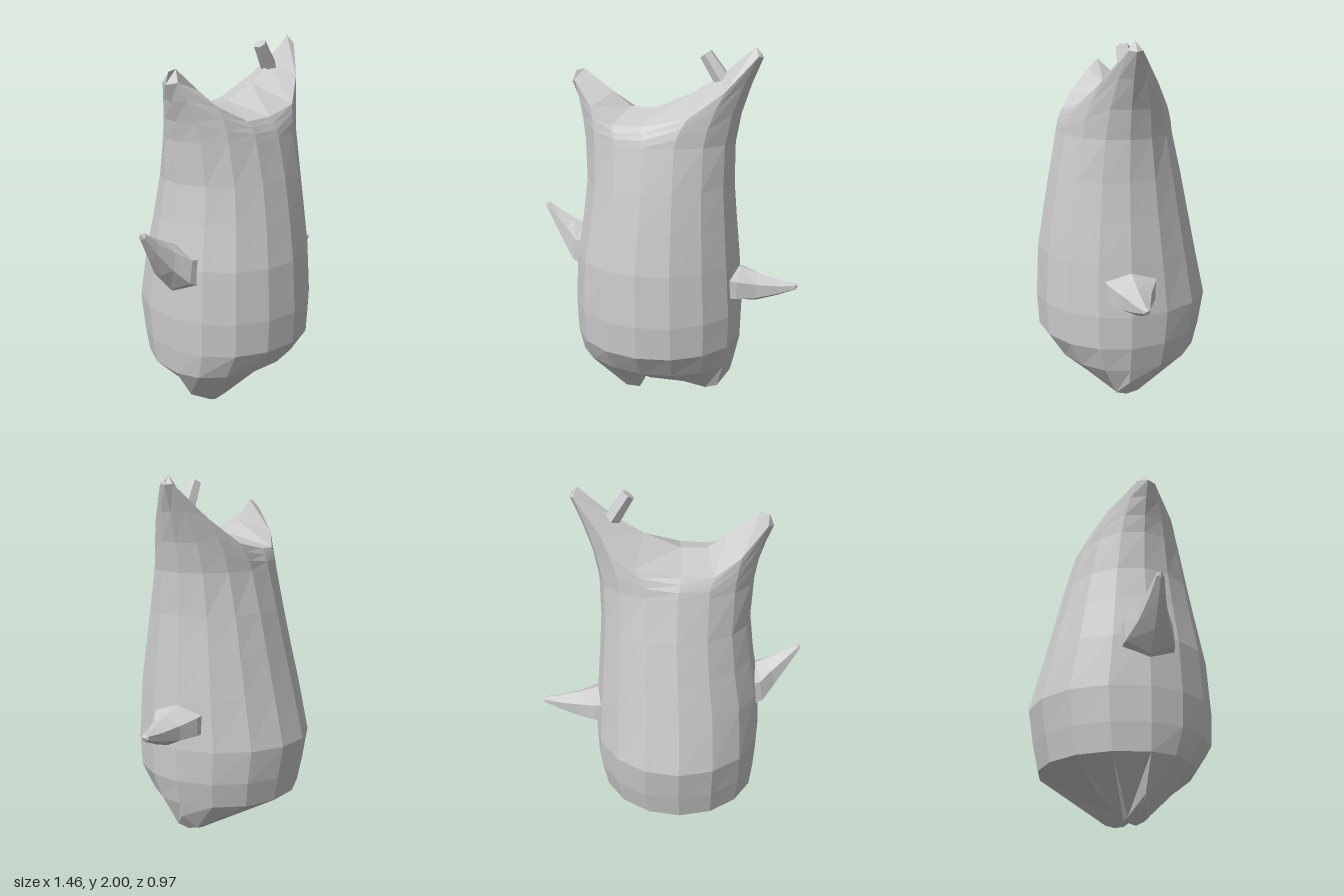
import * as THREE from 'three';

const COLS = 16;   // columns around the body
const MID_Z = 0.045; // ears, arms and feet all sit on this plane

const material = new THREE.MeshStandardMaterial({ color: 0xcccccc, flatShading: true });

// Skins a list of closed rings, each an array of [x, y, z] points.
function loft(name, rings) {
  const n = rings[0].length;
  const index = [];
  for (let k = 0; k < rings.length - 1; k++) {
    for (let i = 0; i < n; i++) {
      const a = k * n + i, b = k * n + (i + 1) % n;
      index.push(a, a + n, b, b, a + n, b + n);
    }
  }
  const indexed = new THREE.BufferGeometry();
  indexed.setAttribute('position', new THREE.Float32BufferAttribute(rings.flat(2), 3));
  indexed.setIndex(index);
  const geometry = indexed.toNonIndexed();
  geometry.computeVertexNormals();
  const mesh = new THREE.Mesh(geometry, material);
  mesh.name = name;
  return mesh;
}

// Ring from nine stations running from +x to -x, mirrored front to back.
const mirroredRing = (stations, place) => Array.from({ length: COLS }, (_, i) => {
  const front = i <= COLS / 2;
  const [x, y, half] = place(stations[front ? i : COLS - i]);
  return [x, y, MID_Z + (front ? half : -half)];
});
const rim = (stations) => mirroredRing(stations, (s) => [s[0], s[1], s[2]]);
const ridge = (stations) => mirroredRing(stations, (s) => [s[3], s[4], 0]);

// Level ring of the trunk with its own left, right, front and back reach.
function trunkRing([y, xMin, xMax, front, back]) {
  return Array.from({ length: COLS }, (_, i) => {
    const a = (i / COLS) * Math.PI * 2;
    const s = Math.sin(a);
    return [
      (xMin + xMax) / 2 + Math.cos(a) * (xMax - xMin) / 2,
      y,
      MID_Z + s * (s > 0 ? front - MID_Z : MID_Z - back),
    ];
  });
}

// Height moves evenly, the outline eases in, giving a flared sweep to the ears.
function flare(from, to, t) {
  const e = t ** 1.5;
  return from.map((p, i) => [
    p[0] + (to[i][0] - p[0]) * e,
    p[1] + (to[i][1] - p[1]) * t,
    p[2] + (to[i][2] - p[2]) * e,
  ]);
}

function createBody() {
  // Stations: rim x, rim y, half depth, centre line x, centre line y
  const feet = [
    [0.37, 0.20, 0, 0.37, 0.20],
    [0.31, 0.12, 0.06, 0.30, 0.10],
    [0.24, 0.09, 0.05, 0.24, 0.08],
    [0.15, 0.19, 0.19, 0.15, 0.14],
    [-0.02, 0.23, 0.27, -0.02, 0.20],
    [-0.11, 0.20, 0.19, -0.10, 0.17],
    [-0.16, 0.03, 0.05, -0.17, 0.01],
    [-0.24, 0.03, 0.05, -0.22, 0.00],
    [-0.39, 0.11, 0, -0.38, 0.10],
  ];
  const crown = [
    [0.50, 1.95, 0, 0.49, 1.97],
    [0.48, 1.955, 0.035, 0.46, 2.00],
    [0.34, 1.79, 0.15, 0.28, 1.85],
    [0.17, 1.66, 0.245, 0.13, 1.76],
    [-0.06, 1.62, 0.265, -0.06, 1.68],
    [-0.22, 1.615, 0.25, -0.20, 1.68],
    [-0.36, 1.69, 0.18, -0.30, 1.755],
    [-0.50, 1.81, 0.05, -0.46, 1.87],
    [-0.535, 1.80, 0, -0.51, 1.86],
  ];
  // Trunk: y, x min, x max, z front, z back
  const trunk = [
    [0.28, -0.50, 0.39, 0.38, -0.42],
    [0.42, -0.515, 0.42, 0.475, -0.45],
    [0.60, -0.52, 0.425, 0.485, -0.48],
    [0.88, -0.505, 0.405, 0.47, -0.415],
    [1.10, -0.465, 0.385, 0.435, -0.365],
    [1.30, -0.44, 0.37, 0.40, -0.32],
    [1.52, -0.45, 0.37, 0.355, -0.265],
  ].map(trunkRing);
  const shoulder = trunk[trunk.length - 1];
  const top = rim(crown);
  return loft('body', [
    ridge(feet), rim(feet), ...trunk,
    flare(shoulder, top, 0.35), flare(shoulder, top, 0.7),
    top, ridge(crown),
  ]);
}

// Pointed arm: each section gives its top x, y, bottom x, y and half depth.
function createArm(name, sections, side) {
  const rings = sections.map(([tx, ty, bx, by, half]) =>
    Array.from({ length: 6 }, (_, i) => {
      const a = Math.PI / 2 + (i / 6) * Math.PI * 2;
      const s = Math.sin(a) * side;
      return [
        (tx + bx) / 2 + s * (tx - bx) / 2,
        (ty + by) / 2 + s * (ty - by) / 2,
        MID_Z + Math.cos(a) * half,
      ];
    }));
  return loft(name, rings);
}

export function createModel() {
  const model = new THREE.Group();
  model.name = 'hornedCreature';
  model.add(createBody());

  model.add(createArm('leftArm', [
    [0.36, 0.85, 0.36, 0.64, 0.16],
    [0.42, 0.835, 0.42, 0.645, 0.145],
    [0.52, 0.805, 0.51, 0.65, 0.09],
    [0.63, 0.78, 0.62, 0.69, 0.05],
    [0.715, 0.77, 0.72, 0.735, 0.022],
    [0.73, 0.757, 0.73, 0.757, 0],
  ], 1));

  model.add(createArm('rightArm', [
    [-0.42, 1.00, -0.47, 0.73, 0.16],
    [-0.49, 1.00, -0.53, 0.765, 0.145],
    [-0.56, 1.03, -0.60, 0.86, 0.09],
    [-0.64, 1.07, -0.665, 0.97, 0.05],
    [-0.705, 1.11, -0.725, 1.08, 0.022],
    [-0.73, 1.11, -0.73, 1.11, 0],
  ], -1));

  // Small stub leaning inward beside the taller ear
  const stub = new THREE.Mesh(new THREE.CylinderGeometry(0.036, 0.046, 0.16, 6), material);
  stub.name = 'earStub';
  stub.position.set(0.25, 1.895, MID_Z);
  stub.rotation.z = 0.6;
  model.add(stub);

  return model;
}
